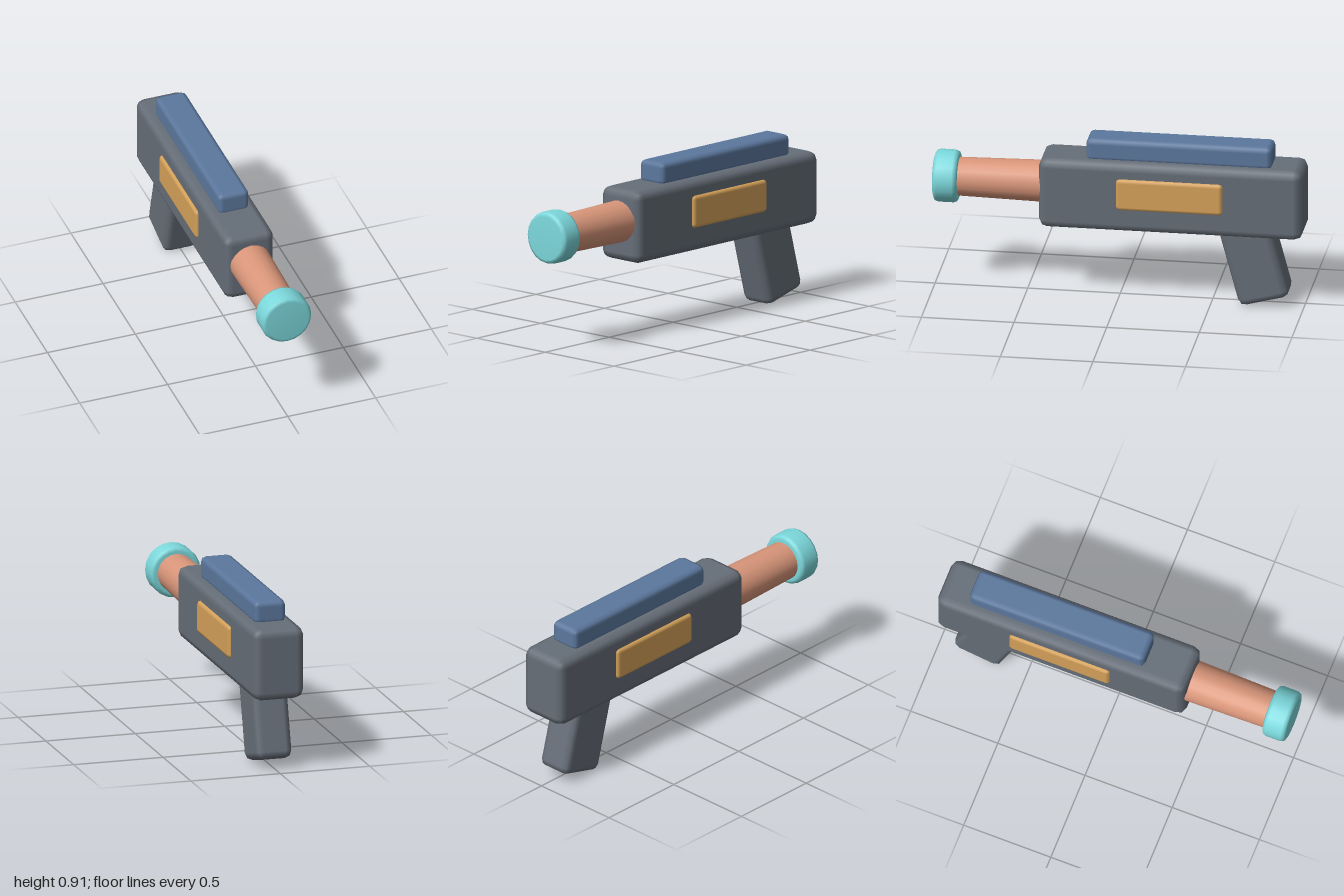
import * as THREE from 'three';
import { RoundedBoxGeometry } from 'three/addons/geometries/RoundedBoxGeometry.js';

const material = (name, color) => {
  const m = new THREE.MeshStandardMaterial({ color });
  m.name = name;
  return m;
};

export function createModel() {
  const slate = material('slate', 0x666e78);
  const blue = material('blue', 0x5c789e);
  const amber = material('amber', 0xd6a25a);
  const copper = material('copper', 0xd9967a);
  const aqua = material('aqua', 0x7cd8dc);

  const group = new THREE.Group();
  const add = (name, geometry, mat, x, y, z) => {
    const mesh = new THREE.Mesh(geometry, mat);
    mesh.name = name;
    mesh.position.set(x, y, z);
    group.add(mesh);
    return mesh;
  };
  // Softly bevelled box, two facets around each edge
  const softBox = (w, h, d, r) => new RoundedBoxGeometry(w, h, d, 1, r);
  // Turned part along +z from [radius, z] pairs
  const turned = (profile) =>
    new THREE.LatheGeometry(profile.map(([r, z]) => new THREE.Vector2(r, z)), 20).rotateX(Math.PI / 2);

  // Main housing and the rail on top
  add('body', softBox(0.284, 0.397, 1.425, 0.048), slate, 0, 0.5985, -0.2875);
  add('topRail', softBox(0.176, 0.128, 1.005, 0.03), blue, 0, 0.844, -0.3275);

  // Raised panels on both sides
  for (const [name, side] of [['leftPanel', 1], ['rightPanel', -1]]) {
    add(name, softBox(0.05, 0.18, 0.58, 0.022), amber, side * 0.134, 0.623, -0.285);
  }

  // Raked grip
  const grip = add('grip', softBox(0.2, 0.5, 0.28, 0.04), slate, 0, 0.267, -0.725);
  grip.rotation.x = Math.PI / 12;

  // Tapered barrel and rounded muzzle
  const axisY = 0.622;
  add('barrel', turned([[0.114, 0.36], [0.103, 0.92]]), copper, 0, axisY, 0);
  add('muzzle', turned([
    [0, 0.868], [0.118, 0.868], [0.135, 0.875], [0.142, 0.892],
    [0.142, 0.976], [0.135, 0.993], [0.118, 1], [0, 1],
  ]), aqua, 0, axisY, 0);

  return group;
}
